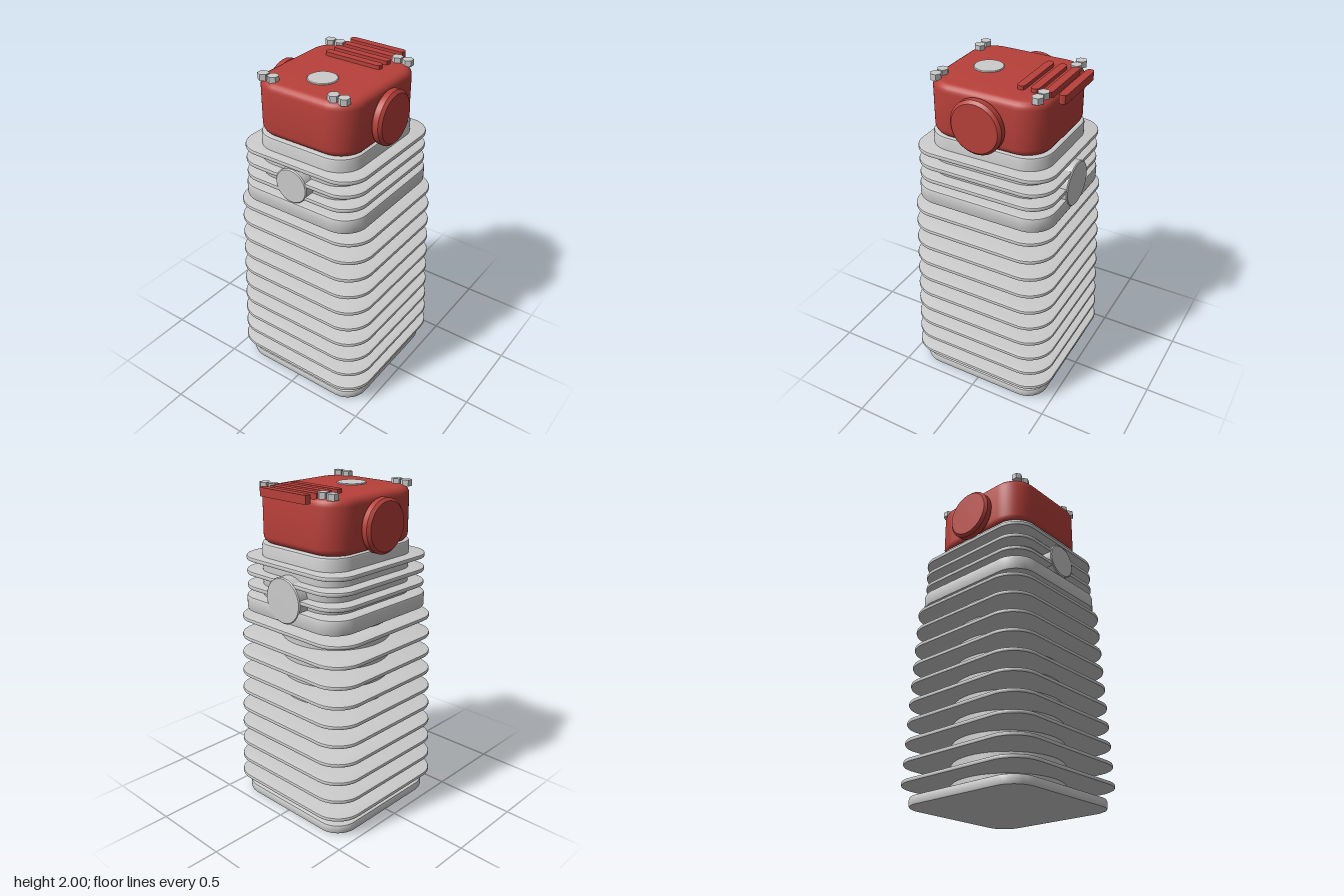
import * as THREE from 'three';
import { toCreasedNormals } from 'three/addons/utils/BufferGeometryUtils.js';

const metal = new THREE.MeshStandardMaterial({ color: 0xcccccc });
const red = new THREE.MeshStandardMaterial({ color: 0xb8403a });

function roundedRect(hx, hz, r) {
  const s = new THREE.Shape();
  s.moveTo(hx, -hz + r);
  s.absarc(hx - r, hz - r, r, 0, Math.PI / 2);
  s.absarc(-hx + r, hz - r, r, Math.PI / 2, Math.PI);
  s.absarc(-hx + r, -hz + r, r, Math.PI, Math.PI * 1.5);
  s.absarc(hx - r, -hz + r, r, Math.PI * 1.5, Math.PI * 2);
  return s;
}

// Horizontal rounded plate between y0 and y1 with softened rims
function slab(hx, hz, r, y0, y1, bevel, steps = 2, curveSegments = 8) {
  const geo = new THREE.ExtrudeGeometry(roundedRect(hx - bevel, hz - bevel, r - bevel), {
    depth: y1 - y0 - 2 * bevel,
    bevelEnabled: bevel > 0,
    bevelThickness: bevel,
    bevelSize: bevel,
    bevelSegments: steps,
    curveSegments,
  });
  geo.rotateX(-Math.PI / 2).translate(0, y0 + bevel, 0);
  return curveSegments > 1 ? toCreasedNormals(geo, 0.6) : geo;
}

// Chamfered disc along y, centred at the origin
function disc(r, h, chamfer) {
  const k = h / 2;
  const profile = [[0, -k], [r - chamfer, -k], [r, -k + chamfer], [r, k - chamfer], [r - chamfer, k], [0, k]];
  const geo = new THREE.LatheGeometry(profile.map(([x, y]) => new THREE.Vector2(x, y)), 48);
  return toCreasedNormals(geo, 0.5);
}

export function createModel() {
  const group = new THREE.Group();
  const add = (name, geo, material = metal, x = 0, y = 0, z = 0) => {
    const mesh = new THREE.Mesh(geo, material);
    mesh.name = name;
    mesh.position.set(x, y, z);
    group.add(mesh);
    return mesh;
  };

  // Cylinder barrel with slightly tapering cooling fins
  add('basePlate', slab(0.435, 0.435, 0.14, 0.005, 0.063, 0.012));
  add('barrel', new THREE.CylinderGeometry(0.33, 0.33, 1.23, 48), metal, 0, 0.625, 0);
  for (let i = 0; i < 10; i++) {
    const y = 0.136 + i * 0.1183;
    const half = 0.478 - i * 0.0034;
    add('barrelFin', slab(half, half, 0.17, y - 0.012, y + 0.012, 0.008));
  }

  // Cylinder head with flange, core and fins
  add('headFlange', slab(0.405, 0.43, 0.15, 1.253, 1.345, 0.012));
  add('headCore', slab(0.327, 0.367, 0.15, 1.33, 1.662, 0.015));
  for (const y of [1.4, 1.485, 1.57]) {
    add('headFin', slab(0.4, 0.427, 0.15, y - 0.013, y + 0.013, 0.008));
  }

  // Intake and exhaust ports
  add('frontPort', disc(0.105, 0.09, 0.006), metal, 0, 1.45, 0.386).rotation.x = Math.PI / 2;
  add('backPort', disc(0.135, 0.135, 0.006), metal, 0, 1.385, -0.366).rotation.x = Math.PI / 2;

  // Valve cover with round side caps
  add('valveCover', slab(0.328, 0.357, 0.16, 1.657, 1.972, 0.045, 5));
  for (const side of [1, -1]) {
    add('sideCap', disc(0.156, 0.066, 0.016), red, side * 0.354, 1.795, 0).rotation.z = Math.PI / 2;
  }
  group.getObjectByName('valveCover').material = red;

  // Top details: plug, ribs and paired hex bolts
  add('topPlug', disc(0.085, 0.03, 0.004), metal, 0, 1.963, 0.13);
  const rib = slab(0.185, 0.023, 0.02, 1.945, 1.994, 0, 1, 1);
  for (let i = 0; i < 4; i++) add('coverRib', rib, red, 0, 0, -0.16 - i * 0.0795);

  const boltGeo = new THREE.CylinderGeometry(0.033, 0.033, 0.036, 6).toNonIndexed();
  boltGeo.computeVertexNormals();
  for (const z of [0.303, -0.303]) {
    for (const x of [-0.263, -0.197, 0.197, 0.263]) add('coverBolt', boltGeo, metal, x, 1.982, z);
  }
  return group;
}
